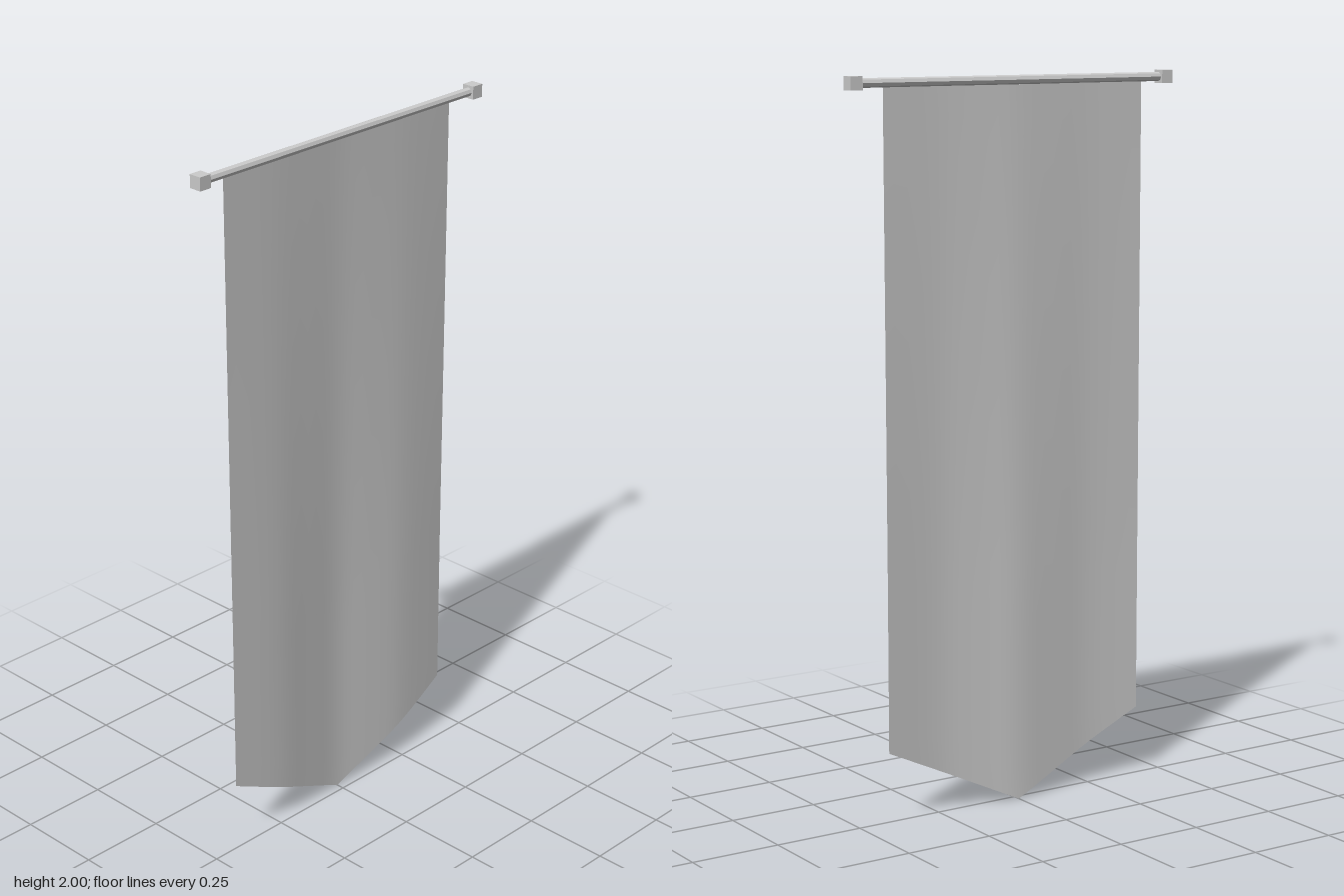
import * as THREE from 'three';

export function createModel() {
  const model = new THREE.Group();
  const grey = new THREE.MeshStandardMaterial({ color: 0xcccccc, flatShading: true });
  const clothGrey = new THREE.MeshStandardMaterial({ color: 0xcccccc, side: THREE.DoubleSide });
  const add = (name, geometry, material) => {
    const mesh = new THREE.Mesh(geometry, material);
    mesh.name = name;
    model.add(mesh);
    return mesh;
  };

  // Horizontal rod running along z
  const rodY = 1.982;
  const rod = add('rod', new THREE.CylinderGeometry(0.0125, 0.0125, 0.98, 8).rotateX(Math.PI / 2), grey);
  rod.position.y = rodY;

  // Cube caps on both rod ends
  for (const side of [1, -1]) {
    const cap = add(side > 0 ? 'frontCap' : 'backCap', new THREE.BoxGeometry(0.036, 0.036, 0.036), grey);
    cap.position.set(0, rodY, side * 0.497);
  }

  // Hanging cloth: a sheet with soft vertical folds and a pointed lower edge
  const halfWidth = 0.415, top = 1.97, sideBottom = 0.2, tip = 0.004;
  const folds = new THREE.SplineCurve([
    [-0.415, -0.015], [-0.25, -0.003], [-0.12, -0.011], [0, -0.022],
    [0.12, -0.013], [0.25, -0.002], [0.415, -0.006],
  ].map(([z, x]) => new THREE.Vector2(z, x)));
  const columns = 24;
  const foldPoints = folds.getPoints(columns);
  const cloth = new THREE.PlaneGeometry(1, 1, columns, 24);
  const pos = cloth.attributes.position;
  for (let i = 0; i < pos.count; i++) {
    const fold = foldPoints[columns - (i % (columns + 1))];
    const z = fold.x;
    const down = 0.5 - pos.getY(i);
    const bottom = THREE.MathUtils.lerp(tip, sideBottom, Math.abs(z) / halfWidth);
    // Folds deepen towards the lower edge
    const depth = THREE.MathUtils.lerp(0.35, 1, Math.min(1, down * 1.4));
    const x = THREE.MathUtils.lerp(-0.008, fold.y, depth);
    pos.setXYZ(i, x, THREE.MathUtils.lerp(top, bottom, down), z);
  }
  cloth.computeVertexNormals();
  add('cloth', cloth, clothGrey);

  return model;
}
